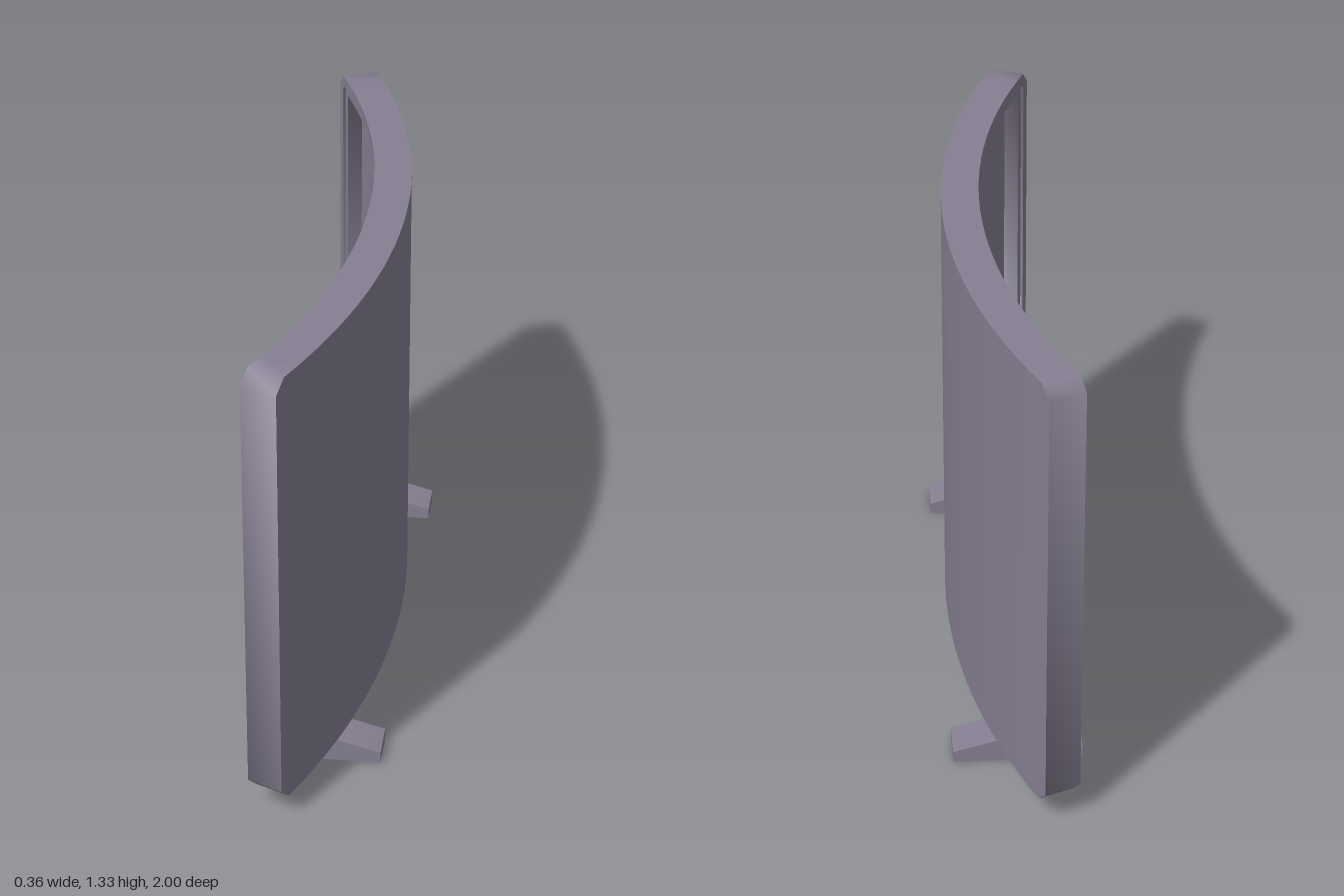
import * as THREE from 'three';
import { toCreasedNormals } from 'three/addons/utils/BufferGeometryUtils.js';

const R = 2.486, CX = 0.16 - R, HALF = 0.414; // back radius, arc centre, half angle
const RIM = R - 0.105;                        // radius of the front rim
const Y0 = 0.066, Y1 = 1.331, SEG = 28;

// Chamfered rectangle wrapped on a cylinder: matching bottom and top rows of points
function outline(inset, radius) {
  const c = 0.036 - 0.59 * inset;
  const a = HALF - inset / RIM, ca = c / RIM;
  const angles = [-a];
  for (let i = 0; i <= SEG; i++) angles.push((a - ca) * (2 * i / SEG - 1));
  angles.push(a);
  const row = (y, dir) => angles.map((t, i) => {
    const corner = i === 0 || i === angles.length - 1;
    return new THREE.Vector3(CX + radius * Math.cos(t), y + (corner ? dir * c : 0), radius * Math.sin(t));
  });
  const bottom = row(Y0 + inset, 1), top = row(Y1 - inset, -1);
  return { bottom, top, loop: [...bottom, ...top.slice().reverse()] };
}

function quad(out, a, b, c, d) {
  for (const p of [a, b, c, a, c, d]) out.push(p.x, p.y, p.z);
}

function cap(out, { bottom: b, top: t }, facesBack) {
  for (let i = 0; i < b.length - 1; i++) {
    if (facesBack) quad(out, b[i + 1], b[i], t[i], t[i + 1]);
    else quad(out, b[i], b[i + 1], t[i + 1], t[i]);
  }
}

// Chamfered corners shade smoothly, right-angled edges stay sharp
function toGeometry(points) {
  const g = new THREE.BufferGeometry();
  g.setAttribute('position', new THREE.Float32BufferAttribute(points, 3));
  return toCreasedNormals(g, 0.9);
}

export function createModel() {
  const model = new THREE.Group();
  model.name = 'curvedScreen';
  const grey = new THREE.MeshStandardMaterial({ color: 0x867f92 });
  grey.name = 'purple grey';

  const add = (name, geometry) => {
    const mesh = new THREE.Mesh(geometry, grey);
    mesh.name = name;
    model.add(mesh);
    return mesh;
  };

  // Housing: back, edge, rim, narrow ledge and the deeper wall down to the screen
  const layers = [
    [0, R], [0, RIM], [0.03, RIM], [0.03, RIM + 0.008], [0.057, RIM + 0.008], [0.057, RIM + 0.052],
  ].map(([inset, radius]) => outline(inset, radius));
  const body = [];
  cap(body, layers[0], true);
  for (let k = 0; k < layers.length - 1; k++) {
    const A = layers[k].loop, B = layers[k + 1].loop;
    A.forEach((p, j) => {
      const n = (j + 1) % A.length;
      quad(body, p, A[n], B[n], B[j]);
    });
  }
  add('housing', toGeometry(body));

  // Recessed curved screen
  const panel = [];
  cap(panel, layers[layers.length - 1], false);
  add('screen', toGeometry(panel));

  // Feet: low blocks with sloping ends
  const profile = new THREE.Shape([
    [-0.178, 0], [0.178, 0], [0.178, 0.033], [0.055, 0.067], [-0.055, 0.067], [-0.178, 0.033],
  ].map(([x, y]) => new THREE.Vector2(x, y)));
  const depth = 0.114;
  const block = new THREE.ExtrudeGeometry(profile, { depth, bevelEnabled: false });
  block.translate(0, 0, -depth / 2);
  const foot = toCreasedNormals(block, 0.5);
  for (const side of [-1, 1]) {
    add(side < 0 ? 'rearFoot' : 'frontFoot', foot).position.z = side * 0.645;
  }
  return model;
}
